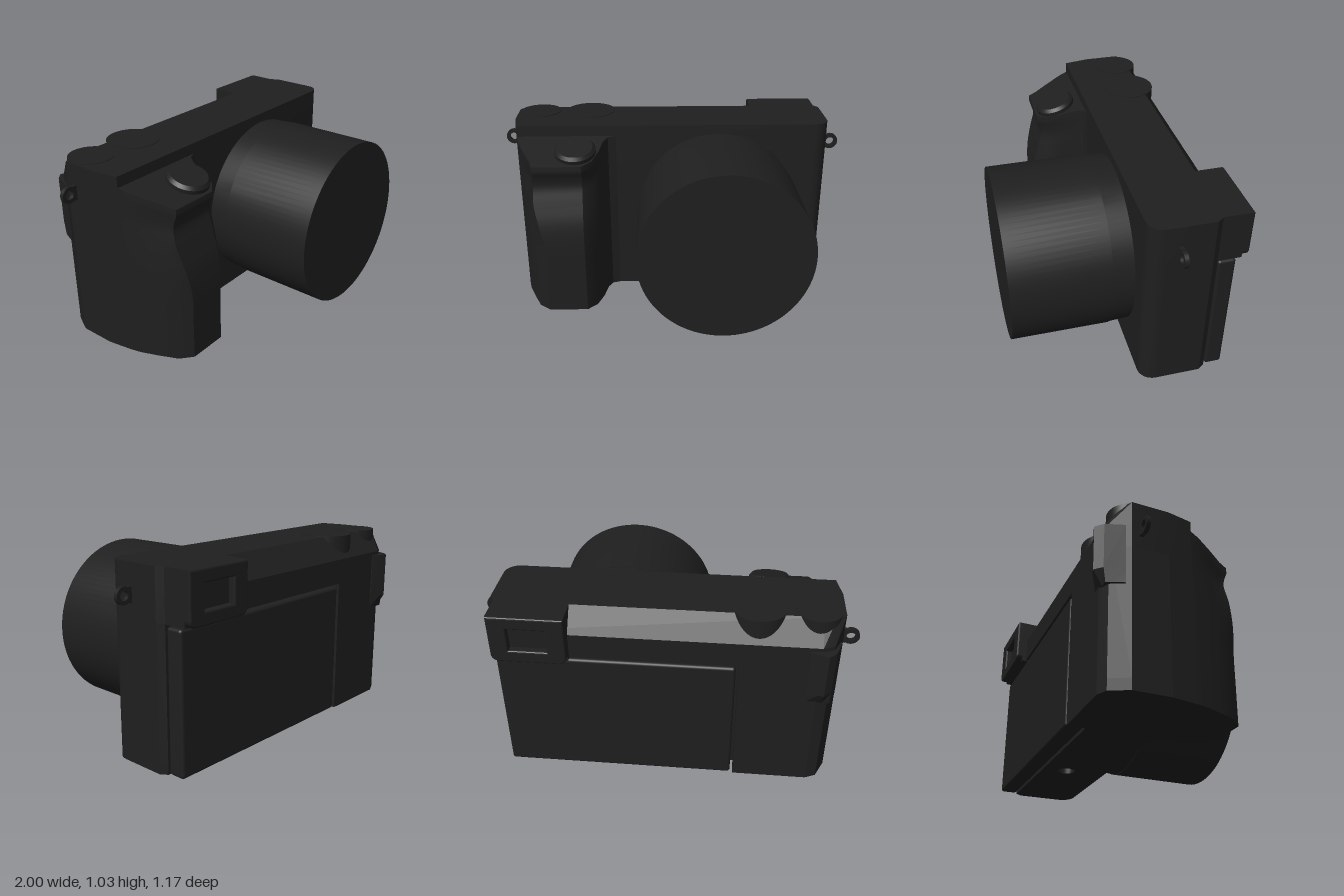
import * as THREE from 'three';
import { toCreasedNormals } from 'three/addons/utils/BufferGeometryUtils.js';
import { RoundedBoxGeometry } from 'three/addons/geometries/RoundedBoxGeometry.js';

const material = new THREE.MeshStandardMaterial({ color: 0x1f1f1f });

// Outlines are [x, z] pairs, counter-clockwise seen from above
const toShape = (outline) => new THREE.Shape(outline.map(([x, z]) => new THREE.Vector2(x, -z)));

function extrudeUp(outline, y0, y1, hole) {
  const shape = toShape(outline);
  if (hole) shape.holes.push(hole);
  const g = new THREE.ExtrudeGeometry(shape, { depth: y1 - y0, bevelEnabled: false, curveSegments: 24 });
  return g.rotateX(-Math.PI / 2).translate(0, y0, 0);
}

// Joins rings of [x, y, z] points, bottom to top, and caps both ends
function loft(rings, crease = 0.5) {
  const n = rings[0].length, index = [];
  for (let r = 0; r < rings.length - 1; r++) {
    for (let i = 0; i < n; i++) {
      const a = r * n + i, b = r * n + (i + 1) % n;
      index.push(a, b, b + n, a, b + n, a + n);
    }
  }
  const cap = (ring, base, flip) => {
    const contour = ring.map(([x, , z]) => new THREE.Vector2(x, -z));
    for (const [a, b, c] of THREE.ShapeUtils.triangulateShape(contour, [])) {
      index.push(base + a, base + (flip ? c : b), base + (flip ? b : c));
    }
  };
  cap(rings[0], 0, true);
  cap(rings[rings.length - 1], (rings.length - 1) * n, false);
  const g = new THREE.BufferGeometry();
  g.setAttribute('position', new THREE.Float32BufferAttribute(rings.flat(2), 3));
  g.setIndex(index);
  return toCreasedNormals(g, crease);
}

export function createModel() {
  const model = new THREE.Group();
  const add = (name, geometry, x = 0, y = 0, z = 0) => {
    const mesh = new THREE.Mesh(geometry, material);
    mesh.name = name;
    mesh.position.set(x, y, z);
    model.add(mesh);
    return mesh;
  };

  // Body outline: rounded front corner, stepped back on the screen side
  const front = [[-0.885, -0.06]];
  for (let i = 0; i <= 8; i++) {
    const a = (i / 8) * Math.PI / 2;
    front.push([0.83 + 0.08 * Math.sin(a), -0.14 + 0.08 * Math.cos(a)]);
  }
  front.push([0.91, -0.39], [0.885, -0.425]);
  const backLeft = [[-0.8, -0.525], [-0.86, -0.5], [-0.91, -0.4], [-0.91, -0.2]];
  const lower = [...front, [-0.39, -0.425], [-0.39, -0.525], ...backLeft];
  const upper = [...front, [0.87, -0.525], ...backLeft];

  // Base plate with the tripod socket, then the body above it
  const socket = new THREE.Path().absarc(0.3, 0.29, 0.05, 0, Math.PI * 2, true);
  add('basePlate', extrudeUp(lower, 0, 0.06, socket));
  add('lowerBody', extrudeUp(lower, 0.06, 0.76));
  const upperRing = (y, zMin) => upper.map(([x, z]) => [x, y, Math.max(z, zMin)]);
  add('upperBody', loft([upperRing(0.76, -1), upperRing(0.9, -1), upperRing(1.025, -0.43)], 0.3));

  // Hand grip: sloping top, finger hollow under the top lip
  const gripOutline = [
    [-0.87, -0.08], [-0.885, -0.06], [-0.87, 0], [-0.83, 0.1], [-0.785, 0.2], [-0.7, 0.255],
    [-0.5, 0.255], [-0.445, 0.2], [-0.41, 0.1], [-0.39, 0], [-0.365, -0.045], [-0.32, -0.06], [-0.32, -0.08],
  ];
  const gripTop = (z) => 0.965 - 0.3 * (z + 0.06);
  // Each key: height fraction, depth factor, shift of the front left edge
  const gripCurve = new THREE.CatmullRomCurve3([
    [0, 1, -0.02], [0.25, 1, -0.02], [0.45, 1, -0.02], [0.62, 0.96, -0.05], [0.76, 0.86, -0.075],
    [0.86, 0.79, -0.07], [0.92, 0.82, -0.07], [0.96, 0.86, -0.07], [1, 0.86, -0.07],
  ].map((p) => new THREE.Vector3(...p)));
  const gripRings = gripCurve.getPoints(32).map((p) => gripOutline.map(([x, z], i) => {
    const depth = z > -0.06 ? -0.06 + (z + 0.06) * p.y : z;
    return [x + (i === 5 ? p.z : 0), gripTop(depth) * p.x, depth];
  }));
  add('grip', loft(gripRings, 0.6));

  // Shutter button on the sloping grip top
  const button = add('shutterButton', toCreasedNormals(new THREE.LatheGeometry([
    [0, -0.02], [0.115, -0.02], [0.115, 0.022], [0.1, 0.04], [0, 0.04],
  ].map((p) => new THREE.Vector2(...p)), 48), 0.4), -0.54, gripTop(0.085), 0.085);
  button.rotation.x = Math.atan(0.3);

  // Top dials, overhanging the sloping back edge
  for (const [name, x, r] of [['rearDial', -0.78, 0.12], ['modeDial', -0.48, 0.145]]) {
    add(name, new THREE.CylinderGeometry(r, r, 0.138, 48), x, 0.959, -0.36);
  }

  // Lens: narrower mount and a plain barrel
  const lens = new THREE.LatheGeometry([
    [0, -0.08], [0.466, -0.08], [0.466, -0.06], [0.472, 0.055], [0.475, 0.055], [0.475, 0.587], [0, 0.587],
  ].map((p) => new THREE.Vector2(...p)), 96);
  add('lens', toCreasedNormals(lens.rotateX(Math.PI / 2), 0.4), 0.272, 0.507, 0);

  // Tilting screen with its hinge plate
  add('hingePlate', new THREE.BoxGeometry(1.2, 0.68, 0.05), 0.25, 0.37, -0.425);
  add('screen', new RoundedBoxGeometry(1.26, 0.742, 0.095, 3, 0.016), 0.255, 0.374, -0.4785);

  // Viewfinder housing and eyepiece frame with a sunken window
  add('viewfinderHousing', new THREE.BoxGeometry(0.395, 0.27, 0.16), 0.6875, 0.89, -0.47);
  const w = 0.1975, h = 0.135, r = 0.04;
  const frame = new THREE.Shape();
  frame.moveTo(-w, h).lineTo(-w, -h + r).absarc(-w + r, -h + r, r, Math.PI, Math.PI * 1.5, false);
  frame.lineTo(w - r, -h).absarc(w - r, -h + r, r, -Math.PI / 2, 0, false).lineTo(w, h);
  frame.closePath();
  const windowHole = new THREE.Path();
  windowHole.moveTo(-0.1, -0.065).lineTo(-0.1, 0.065).lineTo(0.1, 0.065).lineTo(0.1, -0.065).closePath();
  frame.holes.push(windowHole);
  const eyepiece = new THREE.ExtrudeGeometry(frame, {
    depth: 0.03, bevelThickness: 0.01, bevelSize: 0.01, bevelOffset: -0.01, bevelSegments: 3,
  });
  add('eyepiece', eyepiece, 0.6875, 0.89, -0.578);

  // Thumb rest on the back, tapering into the body at its lower end
  const thumb = [
    [-0.74, -0.5], [-0.74, -0.53], [-0.8, -0.56], [-0.83, -0.568], [-0.87, -0.53], [-0.905, -0.43], [-0.88, -0.42],
  ];
  const thumbRing = (y, zMin) => thumb.map(([x, z]) => [x, y, Math.max(z, zMin)]);
  add('thumbRest', loft([thumbRing(0.55, -0.52), thumbRing(0.63, -1), thumbRing(0.88, -1)], 0.3));

  // Strap lugs: flat eyelets on both sides
  const eyelet = new THREE.Shape();
  eyelet.absarc(0, 0, 0.045, 0, Math.PI * 2, false);
  eyelet.holes.push(new THREE.Path().absarc(0, 0, 0.024, 0, Math.PI * 2, true));
  for (const [name, side, z] of [['leftStrapLug', 1, -0.217], ['rightStrapLug', -1, -0.35]]) {
    add(name, new THREE.ExtrudeGeometry(eyelet, { depth: 0.022, bevelEnabled: false, curveSegments: 20 }),
      side * 0.955, 0.87, z - 0.011);
    add(name + 'Base', new THREE.BoxGeometry(0.03, 0.08, 0.022), side * 0.915, 0.87, z);
  }
  return model;
}
